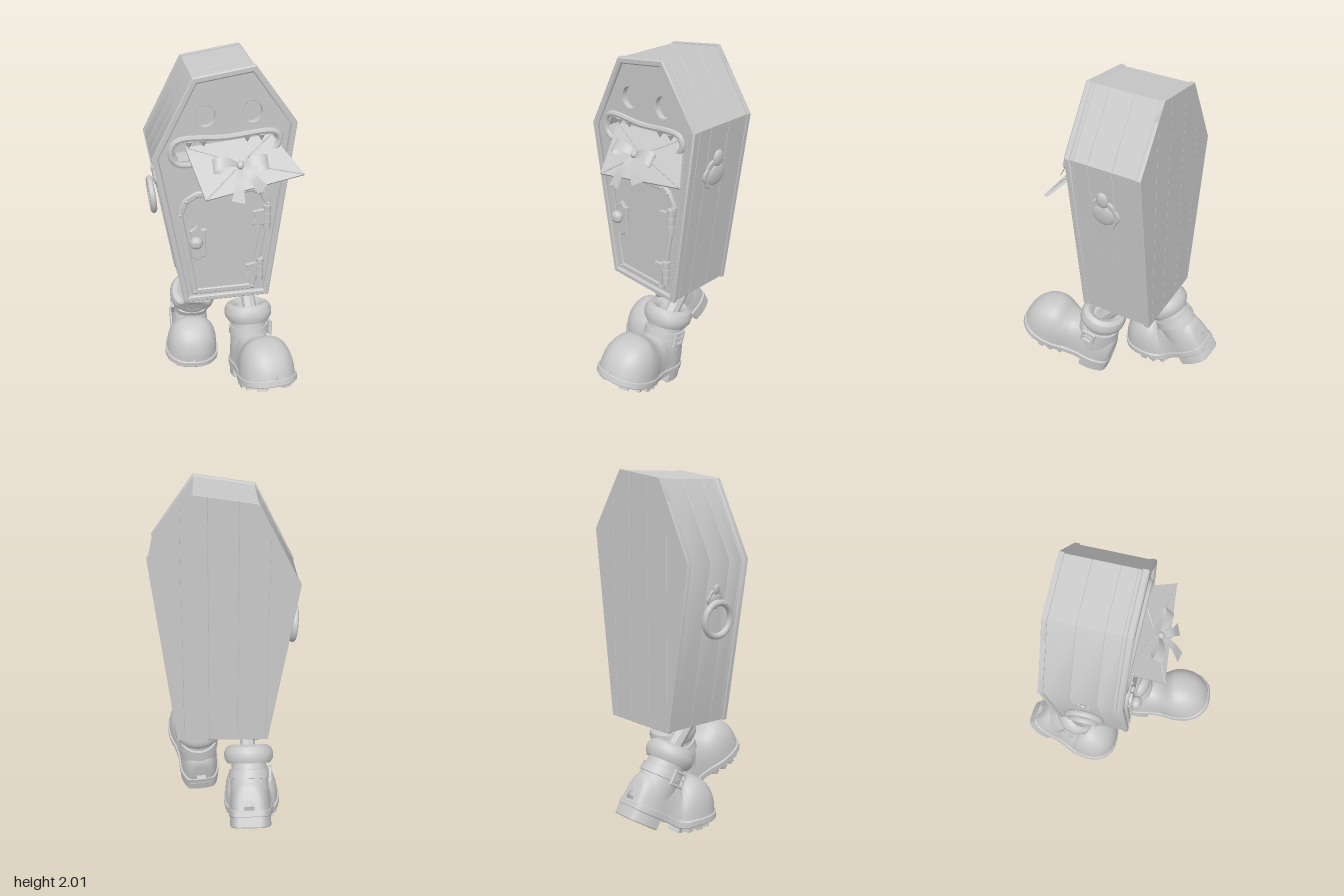
import * as THREE from 'three';
import { toCreasedNormals } from 'three/addons/utils/BufferGeometryUtils.js';
import { ConvexGeometry } from 'three/addons/geometries/ConvexGeometry.js';

const grey = new THREE.MeshStandardMaterial({ color: 0xc8c8c8, side: THREE.DoubleSide });
grey.name = 'plain grey';
const V = (x, y, z) => new THREE.Vector3(x, y, z);
const flat = (pts) => pts.map(([x, y]) => new THREE.Vector2(x, y));

function part(parent, name, geo, x = 0, y = 0, z = 0) {
  const mesh = new THREE.Mesh(toCreasedNormals(geo, 0.65), grey);
  mesh.name = name;
  mesh.position.set(x, y, z);
  parent.add(mesh);
  return mesh;
}

// Bevelled slab of a 2D outline between two depths
function slab(pts, z0, z1, bevel = 0.006, holes = []) {
  const shape = new THREE.Shape(pts);
  holes.forEach((h) => shape.holes.push(new THREE.Path(h)));
  const geo = new THREE.ExtrudeGeometry(shape, {
    depth: z1 - z0 - 2 * bevel, bevelThickness: bevel, bevelSize: bevel, bevelOffset: -bevel, bevelSegments: 1,
  });
  return geo.translate(0, 0, z0 + bevel);
}

// Move every edge of a counter-clockwise outline inwards by d
function inset(pts, d) {
  return pts.map((p, i) => {
    const a = pts[(i + pts.length - 1) % pts.length], b = pts[(i + 1) % pts.length];
    const n1 = new THREE.Vector2(a.y - p.y, p.x - a.x).normalize();
    const n2 = new THREE.Vector2(p.y - b.y, b.x - p.x).normalize();
    const s = d / (1 + n1.dot(n2));
    return new THREE.Vector2(p.x + (n1.x + n2.x) * s, p.y + (n1.y + n2.y) * s);
  });
}

// Keep the part of an outline on one side of x = limit
function clip(pts, limit, side) {
  const out = [];
  pts.forEach((p, i) => {
    const q = pts[(i + 1) % pts.length], dp = (p.x - limit) * side, dq = (q.x - limit) * side;
    if (dp >= 0) out.push(p);
    if (dp * dq < 0) out.push(p.clone().lerp(q, dp / (dp - dq)));
  });
  return out;
}

// Skin over rows of points
function loft(rows, closed) {
  const n = rows[0].length, index = [];
  for (let i = 0; i < rows.length - 1; i++) {
    for (let j = 0; j < (closed ? n : n - 1); j++) {
      const k = (j + 1) % n, a = i * n + j, b = i * n + k;
      index.push(a, b, a + n, b, b + n, a + n);
    }
  }
  const geo = new THREE.BufferGeometry().setFromPoints(rows.flat());
  return geo.setIndex(index);
}

// Flat band along a curve, its half width given by a function of 0..1
function ribbon(points, dir, width) {
  const rows = new THREE.CatmullRomCurve3(points).getPoints(24).map((p, i) => {
    const w = width(i / 24);
    return [p.clone().addScaledVector(dir, -w), p.clone().addScaledVector(dir, w)];
  });
  return loft(rows, false);
}

const tube = (pts, r, closed = false, seg = 48) =>
  new THREE.TubeGeometry(new THREE.CatmullRomCurve3(pts, closed), seg, r, 8, closed);

// Boot: z forwards, heel block standing on y = 0, buckle on +x
function makeBoot(bendAngle) {
  const boot = new THREE.Group();
  const bend = (geo) => {
    const p = geo.attributes.position;
    for (let i = 0; i < p.count; i++) {
      const y = p.getY(i) - 0.06, z = p.getZ(i) - 0.1;
      const a = bendAngle * THREE.MathUtils.smoothstep(z, -0.09, 0.09);
      p.setY(i, 0.06 + y * Math.cos(a) + z * Math.sin(a));
      p.setZ(i, 0.1 - y * Math.sin(a) + z * Math.cos(a));
    }
    return geo;
  };
  const add = (name, geo) => part(boot, name, bend(geo));

  // Stations: z, half width, top
  const stations = new THREE.CatmullRomCurve3([
    [-0.215, 0.03, 0.16], [-0.2, 0.08, 0.25], [-0.12, 0.112, 0.31], [0, 0.115, 0.31], [0.08, 0.128, 0.29],
    [0.15, 0.15, 0.295], [0.23, 0.16, 0.32], [0.31, 0.146, 0.29], [0.365, 0.105, 0.235], [0.393, 0.055, 0.17], [0.4, 0.01, 0.12],
  ].map((s) => V(...s))).getPoints(50);
  add('bootUpper', loft(stations.map(({ x: z, y: w, z: top }) =>
    Array.from({ length: 32 }, (_, j) => {
      const a = (j / 32) * Math.PI * 2, c = Math.cos(a), s = Math.sin(a);
      return V(w * Math.sign(c) * Math.abs(c) ** 0.75, 0.085 + (s > 0 ? (top - 0.085) * s ** 0.8 : 0), z);
    })), true));

  // Ankle shaft and strap
  const ring = (y, rx, rz, zc) => Array.from({ length: 28 }, (_, j) => {
    const a = -(j / 28) * Math.PI * 2;
    return V(rx * Math.cos(a), y, zc + rz * Math.sin(a));
  });
  add('bootShaft', loft([ring(0.12, 0.112, 0.125, -0.08), ring(0.22, 0.112, 0.125, -0.08),
    ring(0.3, 0.106, 0.115, -0.075), ring(0.37, 0.1, 0.108, -0.07), ring(0.42, 0.1, 0.1, -0.07)], true));
  add('strap', loft([ring(0.275, 0.108, 0.118, -0.075), ring(0.277, 0.12, 0.13, -0.075),
    ring(0.328, 0.115, 0.124, -0.073), ring(0.33, 0.1, 0.11, -0.073)], true));
  const square = (r) => flat([[-r, -r], [r, -r], [r, r], [-r, r]]);
  add('buckle', slab(square(0.045), 0, 0.02, 0.004, [square(0.027)]).rotateY(Math.PI / 2).translate(0.112, 0.3, -0.05));
  add('bucklePin', new THREE.BoxGeometry(0.012, 0.01, 0.075).translate(0.126, 0.3, -0.05));
  // Rolled cuff
  add('cuff', new THREE.LatheGeometry(flat([[0, 0.42], [0.06, 0.425], [0.075, 0.455], [0.105, 0.47], [0.132, 0.455],
    [0.145, 0.425], [0.142, 0.39], [0.124, 0.363], [0.09, 0.367]]), 32).translate(0, 0, -0.07));

  // Sole, heel block and tread
  const footprint = (keep, grow) => {
    const half = stations.filter((s) => keep(s.x));
    return [...half.map((s) => new THREE.Vector2(s.y + grow, s.x * (1 + grow))),
      ...half.slice().reverse().map((s) => new THREE.Vector2(-s.y - grow, s.x * (1 + grow)))];
  };
  const lay = (pts, y0, y1) => slab(pts, 0, y1 - y0, 0.005).rotateX(Math.PI / 2).translate(0, y1, 0);
  add('sole', lay(footprint(() => true, 0.01), 0.06, 0.1));
  add('heelBlock', lay(footprint((z) => z < -0.03, 0.005), 0, 0.065));
  for (let i = 0; i < 5; i++) {
    const z = 0.09 + i * 0.062, w = [0.135, 0.155, 0.165, 0.15, 0.105][i];
    for (const s of [-1, 1]) {
      add('treadLug', new THREE.BoxGeometry(w * 0.55, 0.035, 0.036).rotateY(s * 0.2 * (i - 2)).translate(s * w * 0.7, 0.052, z));
    }
  }
  for (const a of [0.8, -0.8]) {
    add('treadCross', new THREE.BoxGeometry(0.1, 0.03, 0.025).rotateY(a).translate(0, 0.055, 0.21));
  }
  return boot;
}

// Side plate: lobed disc with a low boss and a drop on top, facing +z
function makeEmblem() {
  const g = new THREE.Group();
  const lobes = Array.from({ length: 64 }, (_, i) => {
    const a = (i / 64) * Math.PI * 2, r = 0.083 + 0.013 * Math.abs(Math.cos(a * 3));
    return new THREE.Vector2(r * Math.cos(a), r * Math.sin(a) - 0.025);
  });
  part(g, 'emblemPlate', slab(lobes, -0.01, 0.014, 0.005));
  part(g, 'emblemBoss', new THREE.SphereGeometry(0.066, 24, 12).scale(1, 1, 0.27), 0, -0.03, 0.01);
  part(g, 'emblemDrop', new THREE.SphereGeometry(0.036, 16, 12).scale(1, 1.4, 0.5), 0, 0.068, 0.01);
  return g;
}

export function createModel() {
  const model = new THREE.Group();
  model.name = 'walkingCoffinMailbox';

  // Coffin body from plank slices, open at eyes and mouth
  const outline = flat([[-0.25, 0.585], [0.26, 0.585], [0.393, 1.67], [0.157, 2], [-0.18, 1.95], [-0.405, 1.52]]);
  const body = inset(outline, 0.006);
  const mouth = flat([[-0.26, 1.49], [0, 1.5], [0.25, 1.53], [0.285, 1.57], [0.27, 1.61], [0, 1.6], [-0.26, 1.585], [-0.285, 1.53]]);
  const eyes = [[-0.11, 1.735], [0.145, 1.742]].map(([x, y]) => Array.from({ length: 24 }, (_, i) => {
    const a = (i / 24) * Math.PI * 2;
    return new THREE.Vector2(x + 0.054 * Math.cos(a), y + 0.06 * Math.sin(a));
  }));
  const cuts = [-0.326, -0.18, -0.04, 0.045, 0.078];
  for (let i = 0; i < 4; i++) {
    part(model, 'bodyPlank', slab(body, cuts[i], cuts[i + 1], 0.0015, [[], [], [mouth], [mouth, ...eyes]][i]));
  }
  part(model, 'frontRim', slab(outline, 0.06, 0.098, 0.007, [inset(outline, 0.036)]));
  const backCuts = [-0.5, -0.24, -0.08, 0.08, 0.22, 0.5];
  for (let i = 0; i < 5; i++) {
    part(model, 'backPlank', slab(clip(clip(outline, backCuts[i], 1), backCuts[i + 1], -1), -0.345, -0.318, 0.0015));
  }

  // Mouth frame and teeth
  part(model, 'mouthFrame', tube([[-0.275, 1.6], [0, 1.61], [0.275, 1.622], [0.3, 1.575], [0.26, 1.52], [0, 1.49], [-0.26, 1.47], [-0.3, 1.52]]
    .map(([x, y]) => V(x, y, 0.083)), 0.017, true, 80));
  for (const x of [-0.2, -0.12, 0.12, 0.2]) {
    part(model, 'tooth', new THREE.ConeGeometry(0.022, 0.04, 8).rotateX(Math.PI), x, 1.582 + x * 0.04, 0.07);
  }

  // Door with frame, nails, hinges and knob
  const door = flat([[-0.2, 0.635], [0.17, 0.635], [0.262, 1.2], [0.215, 1.285], [0.155, 1.31], [-0.17, 1.3], [-0.24, 1.26], [-0.28, 1.17]]);
  part(model, 'doorPanel', slab(inset(door, 0.033), 0.06, 0.086, 0.003));
  part(model, 'doorFrame', slab(door, 0.06, 0.096, 0.006, [inset(door, 0.035)]));
  inset(door, 0.018).forEach((p) => part(model, 'nail', new THREE.SphereGeometry(0.009, 10, 8), p.x, p.y, 0.096));
  for (const [x, y] of [[0.2, 1.115], [0.165, 0.77]]) {
    const hinge = new THREE.Group();
    hinge.name = 'hinge';
    hinge.position.set(x, y, 0.095);
    model.add(hinge);
    part(hinge, 'hingePlate', slab(flat([[-0.05, -0.04], [0.04, -0.055], [0.04, 0.055], [-0.05, 0.04], [-0.03, 0]]), -0.01, 0.012, 0.003));
    for (const k of [-1, 0, 1]) part(hinge, 'hingeKnuckle', new THREE.CylinderGeometry(0.021, 0.021, 0.046, 14), 0.035, k * 0.05, 0.004);
  }
  part(model, 'knobPlate', slab(flat([[-0.17, 0.87], [-0.135, 0.895], [-0.115, 0.89], [-0.12, 1.0], [-0.115, 1.07], [-0.145, 1.07],
    [-0.165, 1.1], [-0.19, 1.075], [-0.21, 1.065], [-0.195, 1.0], [-0.205, 0.9]]), 0.07, 0.105, 0.004));
  part(model, 'knobStem', new THREE.CylinderGeometry(0.02, 0.026, 0.04, 16).rotateX(Math.PI / 2), -0.178, 1.0, 0.105);
  part(model, 'doorKnob', new THREE.SphereGeometry(0.038, 24, 16).scale(1, 1, 0.8), -0.178, 1.0, 0.127);

  // Side emblem and pull ring
  const emblem = makeEmblem();
  emblem.name = 'sideEmblem';
  emblem.position.set(0.353, 1.405, -0.115);
  emblem.rotation.set(0, Math.PI / 2, -0.12, 'ZYX');
  const ringMount = makeEmblem();
  ringMount.name = 'ringMount';
  ringMount.scale.setScalar(0.6);
  ringMount.position.set(-0.369, 1.33, -0.12);
  ringMount.rotation.set(0, -Math.PI / 2, 0.165, 'ZYX');
  model.add(emblem, ringMount);
  part(model, 'pullRing', new THREE.TorusGeometry(0.092, 0.018, 12, 36).rotateY(Math.PI / 2), -0.394, 1.21, -0.12).rotation.z = 0.08;

  // Envelope hanging out of the mouth
  const corners = [V(-0.22, 1.555, 0.06), V(0.26, 1.585, 0.03), V(0.41, 1.41, 0.21), V(-0.145, 1.33, 0.265)];
  const normal = V(0, 0.68, 0.73), lift = (p, d) => p.clone().addScaledVector(normal, d);
  part(model, 'envelope', new ConvexGeometry([...corners.map((p) => lift(p, -0.008)), ...corners.map((p) => lift(p, 0.008))]));
  const middle = V(0.07, 1.478, 0.155);
  corners.forEach((p) => part(model, 'envelopeFold', tube([lift(p, 0.008), lift(middle, 0.01)], 0.004, false, 2)));
  part(model, 'envelopeRibbon', ribbon([V(0.02, 1.575, 0.065), middle, V(0.12, 1.375, 0.245)].map((p) => lift(p, 0.016)), V(1, 0, 0), () => 0.024));

  // Bow
  const bow = new THREE.Group();
  bow.name = 'bow';
  bow.position.set(0.055, 1.485, 0.19);
  bow.rotation.x = -0.7;
  model.add(bow);
  for (const s of [-1, 1]) {
    part(bow, 'bowLoop', ribbon([[0, 0, 0], [0.06, 0.01, 0.04], [0.125, 0.008, 0.045], [0.15, 0, 0.022], [0.12, -0.005, 0], [0.06, 0, -0.004], [0, 0, 0]]
      .map(([x, y, z]) => V(s * x, y, z)), V(0, 1, 0), (t) => 0.012 + 0.026 * Math.sin(Math.PI * t)));
  }
  part(bow, 'bowTail', ribbon([V(0, 0, 0), V(-0.015, -0.09, 0.022), V(-0.035, -0.2, 0.0)], V(0.95, -0.3, 0), (t) => 0.01 + 0.025 * t));
  part(bow, 'bowTail', ribbon([V(0, 0, 0), V(0.05, -0.07, 0.022), V(0.105, -0.14, 0.0)], V(0.8, 0.6, 0), (t) => 0.01 + 0.025 * t));
  part(bow, 'bowKnot', new THREE.SphereGeometry(0.022, 16, 12).scale(0.9, 1.1, 0.9), 0, 0, 0.012);

  // Legs and boots in mid stride
  const leg = (a, b) => part(model, 'leg', tube([a, b], 0.044, false, 2));
  leg(V(0.165, 0.42, 0.035), V(0.155, 0.62, -0.14));
  leg(V(-0.145, 0.42, -0.255), V(-0.145, 0.62, -0.08));
  const place = (name, side, bendAngle, tilt, yaw, roll, [x, y, z]) => {
    const boot = makeBoot(bendAngle);
    boot.name = name;
    boot.scale.x = side;
    boot.rotation.set(tilt, yaw, roll, 'YXZ');
    boot.position.set(x, y, z);
    model.add(boot);
  };
  place('leftBoot', 1, 0.12, -0.28, 0.13, -0.04, [0.158, 0.056, 0.21]);
  place('rightBoot', -1, 0.54, 0.56, -0.1, -0.07, [-0.162, 0.036, -0.41]);
  return model;
}
